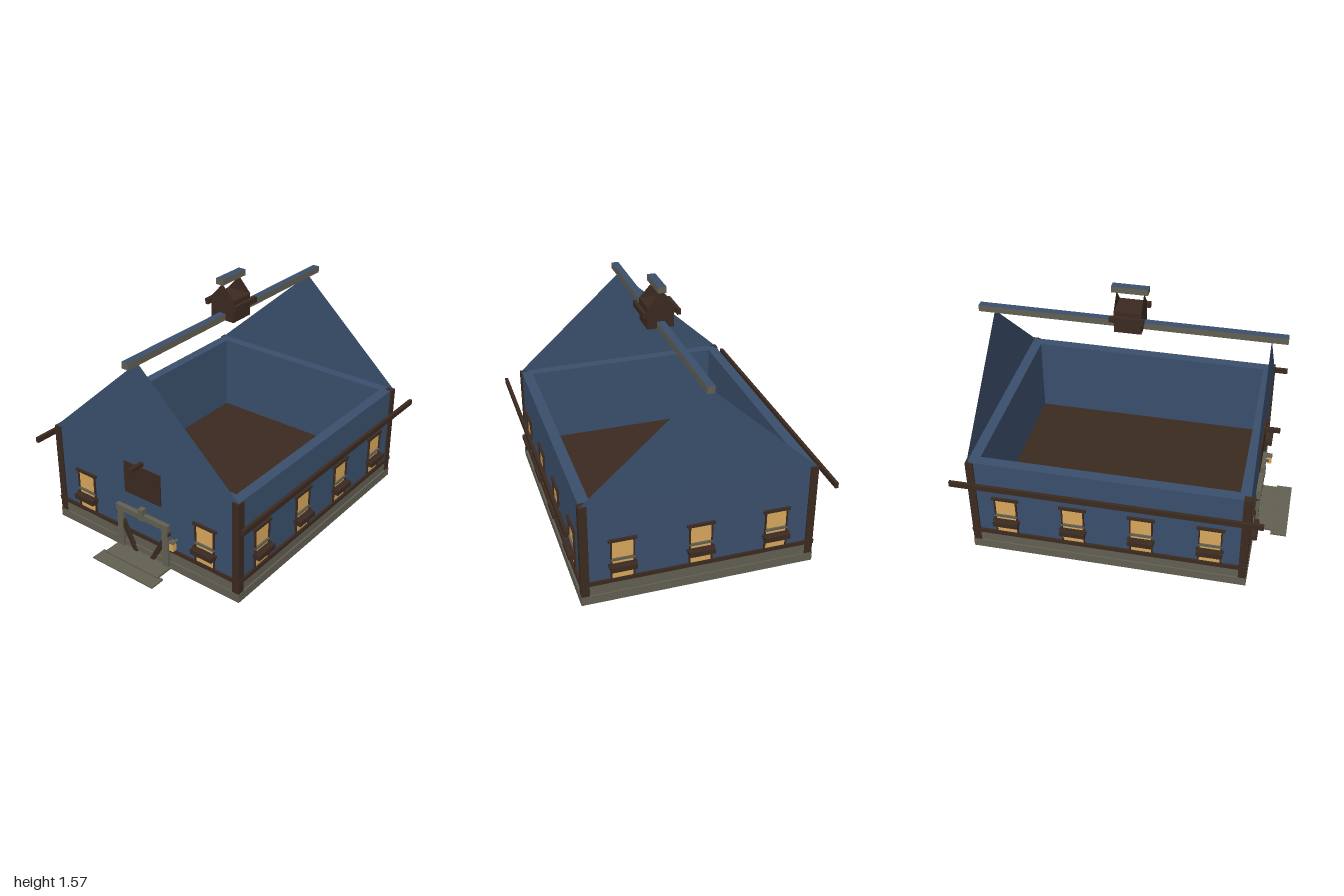
import * as THREE from 'three';

const mat = (name, color, side = THREE.FrontSide) => {
  const m = new THREE.MeshStandardMaterial({ color, side });
  m.name = name;
  return m;
};

export function createModel() {
  const blue = mat('blue plaster', 0x3a4f6c, THREE.DoubleSide);
  const wood = mat('dark timber', 0x3b2a20, THREE.DoubleSide);
  const stone = mat('grey stone', 0x625f52);
  const amber = mat('amber glass', 0xd8a75c);

  const house = new THREE.Group();
  house.name = 'house';

  const CZ = -0.06; // centre of the body in z
  const HX = 0.70, HZ = 0.845; // half sizes of the walls
  const TOP = 0.676; // wall height

  // Box given by its limits on each axis
  function box(name, m, [x0, x1], [y0, y1], [z0, z1], parent = house) {
    const mesh = new THREE.Mesh(new THREE.BoxGeometry(x1 - x0, y1 - y0, z1 - z0), m);
    mesh.position.set((x0 + x1) / 2, (y0 + y1) / 2, (z0 + z1) / 2);
    mesh.name = name;
    parent.add(mesh);
    return mesh;
  }

  // Four boxes around a rectangle; hx, hz are the outer half sizes
  function ring(name, m, hx, hz, t, y) {
    const g = new THREE.Group();
    g.name = name;
    g.position.z = CZ;
    for (const s of [-1, 1]) {
      const x = s * (hx - t / 2), z = s * (hz - t / 2);
      box(name + 'Side', m, [x - t / 2, x + t / 2], y, [-hz + t, hz - t], g);
      box(name + 'End', m, [-hx, hx], y, [z - t / 2, z + t / 2], g);
    }
    house.add(g);
  }

  // Flat polygon facing z
  function plate(name, m, points, z) {
    const shape = new THREE.Shape(points.map(([x, y]) => new THREE.Vector2(x, y)));
    const mesh = new THREE.Mesh(new THREE.ShapeGeometry(shape), m);
    mesh.position.z = z;
    mesh.name = name;
    house.add(mesh);
  }

  // Stone base: a slab on a hollow footing, then floor and walls
  ring('footing', stone, 0.713, 0.856, 0.05, [0.01, 0.066]);
  box('plinthSlab', stone, [-0.703, 0.703], [0.066, 0.135], [CZ - 0.848, CZ + 0.848]);
  box('floor', wood, [-0.69, 0.69], [0.135, 0.16], [CZ - 0.835, CZ + 0.835]);
  ring('sillBeam', wood, 0.715, 0.856, 0.07, [0.135, 0.16]);
  ring('wall', blue, HX, HZ, 0.066, [0.16, TOP]);

  // Thin gables
  for (const s of [-1, 1]) {
    plate('gable', blue, [[-HX, TOP], [HX, TOP], [0, 1.312]], CZ + s * HZ);
  }

  // Corner posts and eave rails
  for (const sx of [-1, 1]) {
    for (const sz of [-1, 1]) {
      const x = sx * 0.686, z = CZ + sz * 0.83;
      box('cornerPost', wood, [x - 0.024, x + 0.024], [0.064, TOP], [z - 0.024, z + 0.024]);
    }
    box('eaveRail', wood, [sx * 0.793 - 0.01, sx * 0.793 + 0.01], [0.559, 0.593], [-0.99, 0.875]);
  }

  // Ridge beams, blue on top only
  const capped = [stone, stone, blue, stone, stone, stone];
  box('ridgeBeam', capped, [-0.023, 0.023], [1.308, 1.349], [-1, 0.883]);
  box('turretRidge', capped, [-0.025, 0.025], [1.537, 1.575], [-0.168, 0.053]);

  // Roof turret with thin gables and side rails
  box('turret', wood, [-0.083, 0.083], [1.305, 1.443], [-0.14, 0.025]);
  for (const z of [-0.14, 0.025]) {
    plate('turretGable', wood, [[-0.083, 1.443], [0.083, 1.443], [0, 1.535]], z);
  }
  for (const s of [-1, 1]) {
    box('turretRail', wood, [s * 0.105 - 0.011, s * 0.105 + 0.011], [1.387, 1.422], [-0.163, 0.045]);
  }

  // Window facing +z, turned and placed on a wall
  function addWindow(x, z, angle) {
    const g = new THREE.Group();
    g.name = 'window';
    box('pane', amber, [-0.064, 0.064], [0.16, 0.418], [-0.005, 0.003], g);
    for (const s of [-1, 1]) {
      box('jamb', wood, [s * 0.067 - 0.004, s * 0.067 + 0.004], [0.16, 0.418], [-0.005, 0.012], g);
    }
    box('header', wood, [-0.084, 0.084], [0.413, 0.43], [-0.005, 0.015], g);
    box('crossbar', stone, [-0.071, 0.071], [0.284, 0.299], [-0.005, 0.013], g);
    box('flowerBox', wood, [-0.078, 0.078], [0.228, 0.26], [-0.005, 0.046], g);
    box('boxRim', wood, [-0.084, 0.084], [0.248, 0.262], [-0.005, 0.016], g);
    box('sill', stone, [-0.084, 0.084], [0.124, 0.135], [-0.005, 0.014], g);
    g.position.set(x, 0, z);
    g.rotation.y = angle;
    house.add(g);
  }
  for (const x of [-0.465, 0.465]) addWindow(x, CZ + HZ, 0);
  for (const x of [-0.465, 0, 0.465]) addWindow(x, CZ - HZ, Math.PI);
  for (const z of [0.568, 0.152, -0.268, -0.688]) {
    addWindow(HX, z, Math.PI / 2);
    addWindow(-HX, z, -Math.PI / 2);
  }

  // Hanging board and its bracket
  box('signBoard', wood, [-0.14, 0.14], [0.425, 0.635], [0.78, 0.794]);
  box('signBracket', wood, [-0.012, 0.012], [0.65, 0.675], [0.78, 0.888]);

  // Stone doorway with slanted braces
  for (const s of [-1, 1]) {
    const x = s * 0.177;
    box('doorPost', stone, [x - 0.022, x + 0.022], [0.02, 0.29], [0.78, 0.81]);
    const brace = box('doorBrace', wood, [-0.014, 0.014], [-0.15, 0.15], [-0.011, 0.011]);
    brace.position.set(s * 0.128, 0.139, 0.796);
    brace.rotation.z = -s * 0.49;
  }
  box('doorLintel', stone, [-0.203, 0.203], [0.286, 0.322], [0.78, 0.815]);
  box('keystone', stone, [-0.018, 0.018], [0.283, 0.36], [0.78, 0.822]);

  // Door steps
  box('upperStep', stone, [-0.21, 0.21], [0.014, 0.026], [0.78, 0.92]);
  box('lowerStep', stone, [-0.237, 0.237], [0.006, 0.015], [0.9, 1]);

  // Lantern beside the door
  box('lanternArm', stone, [0.25, 0.262], [0.235, 0.245], [0.78, 0.83]);
  box('lanternBracket', stone, [0.228, 0.244], [0.215, 0.227], [0.784, 0.83]);
  box('lanternGlass', amber, [0.242, 0.272], [0.193, 0.246], [0.815, 0.845]);
  box('lanternCap', stone, [0.239, 0.275], [0.246, 0.254], [0.812, 0.848]);

  return house;
}
